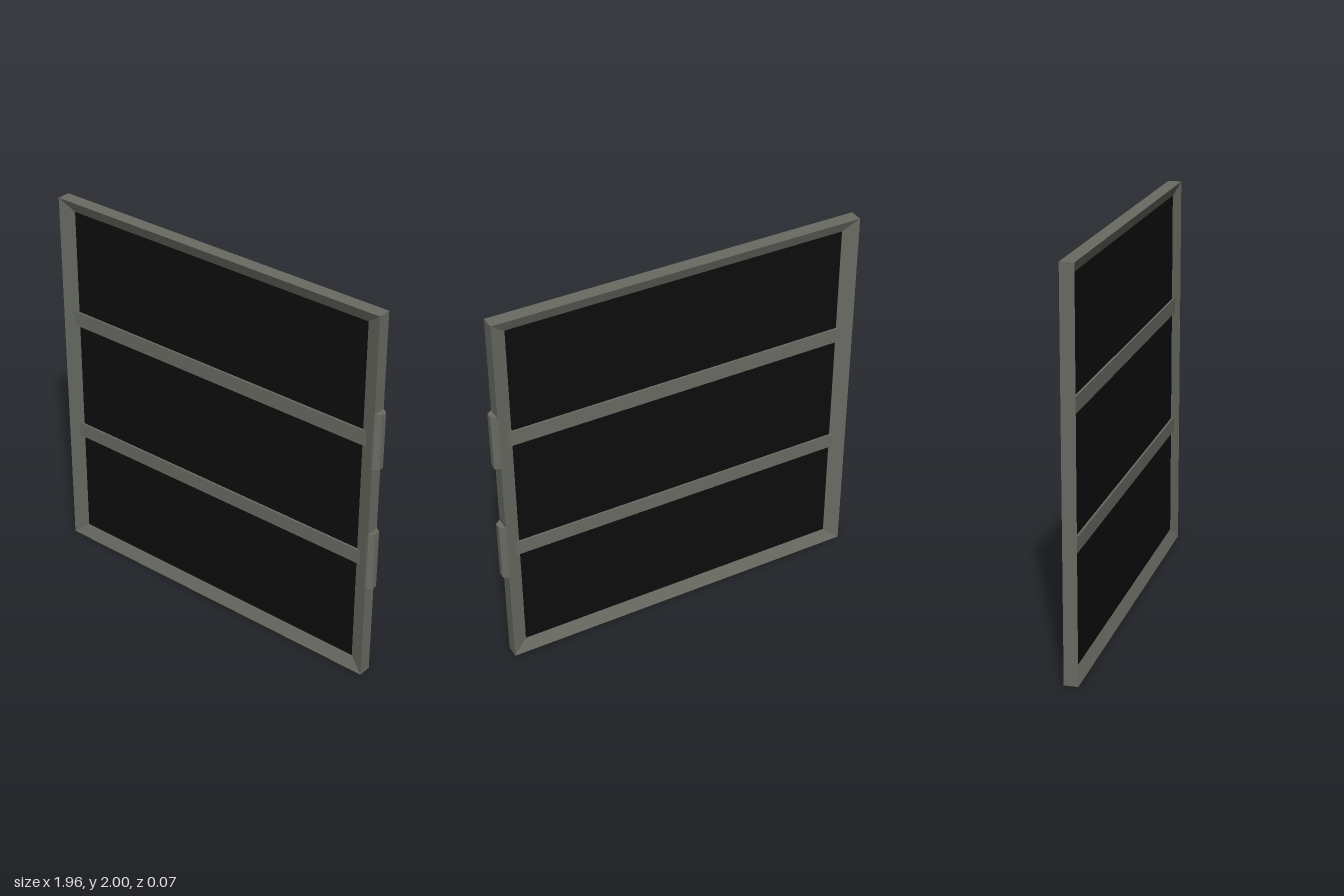
import * as THREE from 'three';

const frameMat = new THREE.MeshStandardMaterial({ color: 0x696b63 });
frameMat.name = 'grey metal';
const glassMat = new THREE.MeshStandardMaterial({ color: 0x0d0d0d });
glassMat.name = 'black glass';

const OUTER = { x0: -0.98, x1: 0.953, y0: 0, y1: 2 };
const INNER = { x0: -0.898, x1: 0.878, y0: 0.068, y1: 1.94 };
const DEPTH = 0.035; // half depth at the outer edge
const LIP = 0.01; // half depth where the frame meets the glass

function addMesh(parent, name, geometry, material) {
  const mesh = new THREE.Mesh(geometry, material);
  mesh.name = name;
  parent.add(mesh);
  return mesh;
}

// Mitred frame: rectangular rings joined in a closed loop, flat shaded
function frameGeometry() {
  const ring = (r, z) => [[r.x0, r.y0, z], [r.x1, r.y0, z], [r.x1, r.y1, z], [r.x0, r.y1, z]];
  const rings = [ring(OUTER, DEPTH), ring(INNER, LIP), ring(INNER, -LIP), ring(OUTER, -DEPTH)];
  const positions = [];
  rings.forEach((a, k) => {
    const b = rings[(k + 1) % rings.length];
    for (let i = 0; i < 4; i++) {
      const j = (i + 1) % 4;
      for (const p of [a[i], a[j], b[j], a[i], b[j], b[i]]) positions.push(...p);
    }
  });
  const geometry = new THREE.BufferGeometry();
  geometry.setAttribute('position', new THREE.Float32BufferAttribute(positions, 3));
  geometry.computeVertexNormals();
  return geometry;
}

// Hinge: chamfered profile in plan, extruded upwards
function hingeGeometry(height) {
  const profile = new THREE.Shape([
    new THREE.Vector2(0.945, -0.034),
    new THREE.Vector2(0.955, -0.034),
    new THREE.Vector2(0.98, -0.016),
    new THREE.Vector2(0.98, 0.016),
    new THREE.Vector2(0.955, 0.034),
    new THREE.Vector2(0.945, 0.034),
  ]);
  const geometry = new THREE.ExtrudeGeometry(profile, { depth: height, bevelEnabled: false });
  return geometry.rotateX(-Math.PI / 2);
}

export function createModel() {
  const model = new THREE.Group();
  model.name = 'window';

  addMesh(model, 'frame', frameGeometry(), frameMat);

  // Dark pane filling the opening
  const cx = (INNER.x0 + INNER.x1) / 2;
  const cy = (INNER.y0 + INNER.y1) / 2;
  const pane = new THREE.BoxGeometry(INNER.x1 - INNER.x0, INNER.y1 - INNER.y0, 0.016);
  addMesh(model, 'pane', pane, glassMat).position.set(cx, cy, 0);

  // Two horizontal glazing bars, ends buried in the sloping frame
  for (const [name, y0, y1] of [['upperBar', 1.302, 1.382], ['lowerBar', 0.638, 0.716]]) {
    const bar = new THREE.BoxGeometry(1.83, y1 - y0, 0.036);
    addMesh(model, name, bar, frameMat).position.set(cx, (y0 + y1) / 2, 0);
  }

  // Hinges on the left edge
  for (const [name, y0, y1] of [['upperHinge', 1.203, 1.5], ['lowerHinge', 0.528, 0.845]]) {
    addMesh(model, name, hingeGeometry(y1 - y0), frameMat).position.y = y0;
  }

  return model;
}
